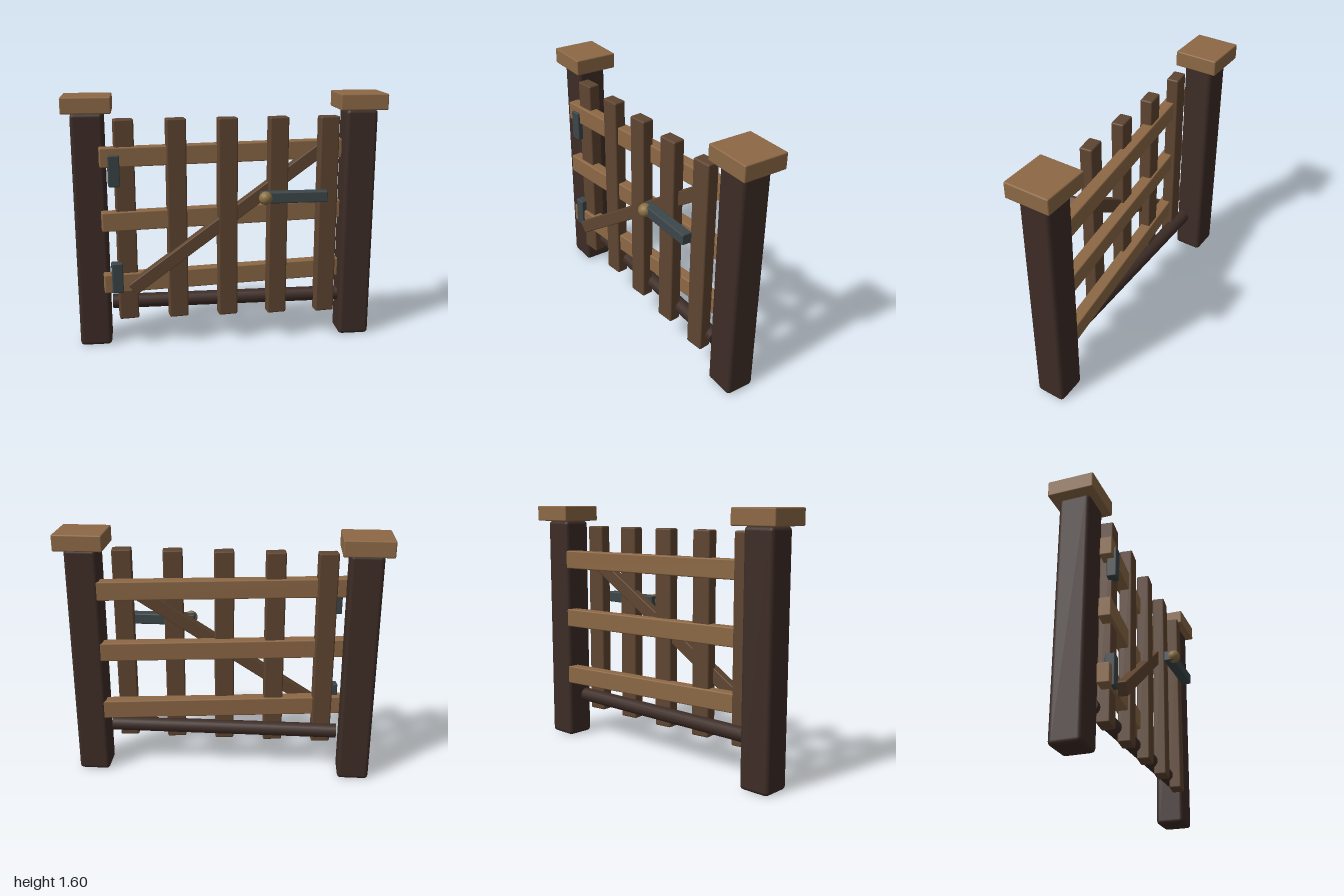
import * as THREE from 'three';
import { RoundedBoxGeometry } from 'three/addons/geometries/RoundedBoxGeometry.js';

const mat = (color) => new THREE.MeshStandardMaterial({ color });

export function createModel() {
  const model = new THREE.Group();
  const darkWood = mat(0x3d2c26);
  const midWood = mat(0x5f4531);
  const lightWood = mat(0x8c6845);
  const iron = mat(0x3c4649);
  const brass = mat(0x8a7043);
  const swing = 0.12; // the gate stands slightly ajar

  function add(name, geometry, material, x, y, z, parent = model) {
    const mesh = new THREE.Mesh(geometry, material);
    mesh.name = name;
    mesh.position.set(x, y, z);
    parent.add(mesh);
    return mesh;
  }
  const block = (w, h, d, r) => new RoundedBoxGeometry(w, h, d, 2, r);

  // Posts with square caps
  for (const [side, s] of [['left', 1], ['right', -1]]) {
    add(side + 'Post', block(0.2, 1.5, 0.19, 0.025), darkWood, s * 0.85, 0.75, -0.055);
    add(side + 'PostCap', block(0.3, 0.1, 0.28, 0.008), lightWood, s * 0.85, 1.55, -0.06);
  }

  // Round bar between the posts
  const bar = add('bottomBar', new THREE.CylinderGeometry(0.046, 0.046, 1.47, 16), darkWood, 0, 0.28, -0.015);
  bar.rotation.z = Math.PI / 2;

  // Horizontal rails, turned with the gate
  for (const y of [0.44, 0.84, 1.24]) {
    add('rail', block(1.575, 0.12, 0.075, 0.008), lightWood, 0, y, -0.017).rotation.y = swing;
  }

  // Upright pickets, each turned but set in a straight row
  for (let i = -2; i <= 2; i++) {
    add('picket', block(0.122, 1.275, 0.08, 0.01), midWood, i * 0.317, 0.828, 0.037).rotation.y = swing;
  }

  // Diagonal brace
  const brace = add('brace', block(1.49, 0.083, 0.06, 0.006), midWood, 0, 0.83, 0.045);
  brace.rotation.order = 'YXZ';
  brace.rotation.set(0, swing, 0.604);

  // Hinges
  for (const y of [0.478, 1.158]) {
    add('hinge', block(0.07, 0.195, 0.06, 0.008), iron, -0.698, y, 0.09).rotation.y = swing;
  }

  // Latch bar and knob
  add('latch', block(0.42, 0.07, 0.065, 0.008), iron, 0.405, 0.98, 0.132);
  add('latchKnob', new THREE.SphereGeometry(0.042, 20, 14), brass, 0.225, 0.98, 0.16);

  return model;
}
